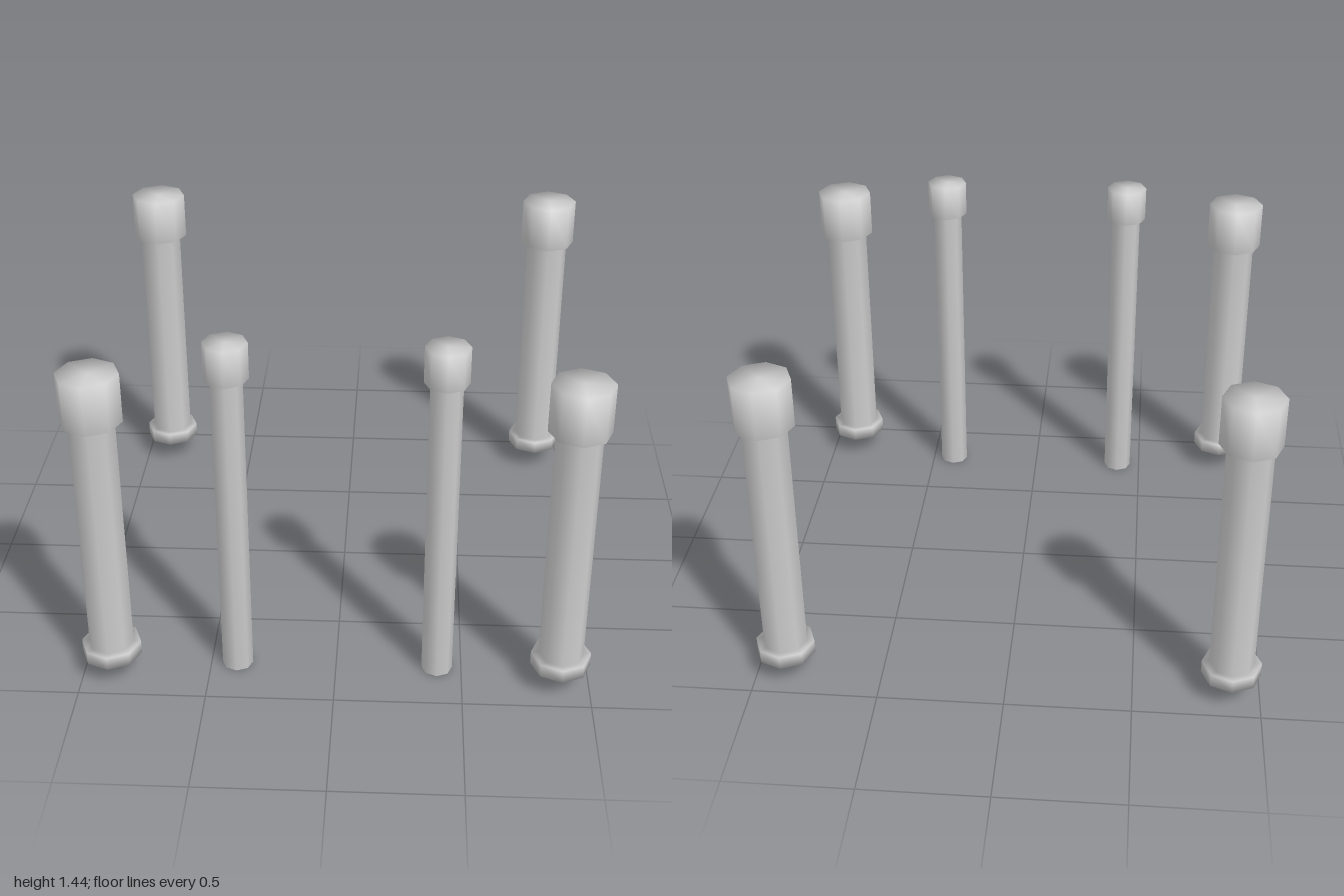
import * as THREE from 'three';

const material = new THREE.MeshStandardMaterial({ color: 0xcccccc });

// Eight-sided turned post with soft normals, from [radius, height] pairs, bottom to top
function turned(profile) {
  return new THREE.LatheGeometry(profile.map(([r, y]) => new THREE.Vector2(r, y)), 8);
}

export function createModel() {
  const model = new THREE.Group();
  const add = (name, geometry, x, z) => {
    const mesh = new THREE.Mesh(geometry, material);
    mesh.name = name;
    mesh.position.set(x, 0, z);
    model.add(mesh);
  };

  // Thick corner posts: foot flange, shaft, wide cap
  const cornerPost = turned([
    [0, 0.095], [0.117, 0.095], [0.117, 0.15], [0.088, 0.15],
    [0.088, 1.15], [0.117, 1.15], [0.117, 1.345], [0, 1.345],
  ]);
  for (const [side, x] of [['Left', 0.883], ['Right', -0.883]]) {
    for (const [end, z] of [['front', 0.855], ['back', -0.855]]) {
      add(`${end}${side}CornerPost`, cornerPost, x, z);
    }
  }

  // Slim front posts: plain shaft with a small cap
  const slimPost = turned([
    [0, 0], [0.061, 0], [0.061, 1.295], [0.084, 1.295], [0.084, 1.44], [0, 1.44],
  ]);
  add('leftSlimPost', slimPost, 0.403, 0.777);
  add('rightSlimPost', slimPost, -0.395, 0.777);

  return model;
}
